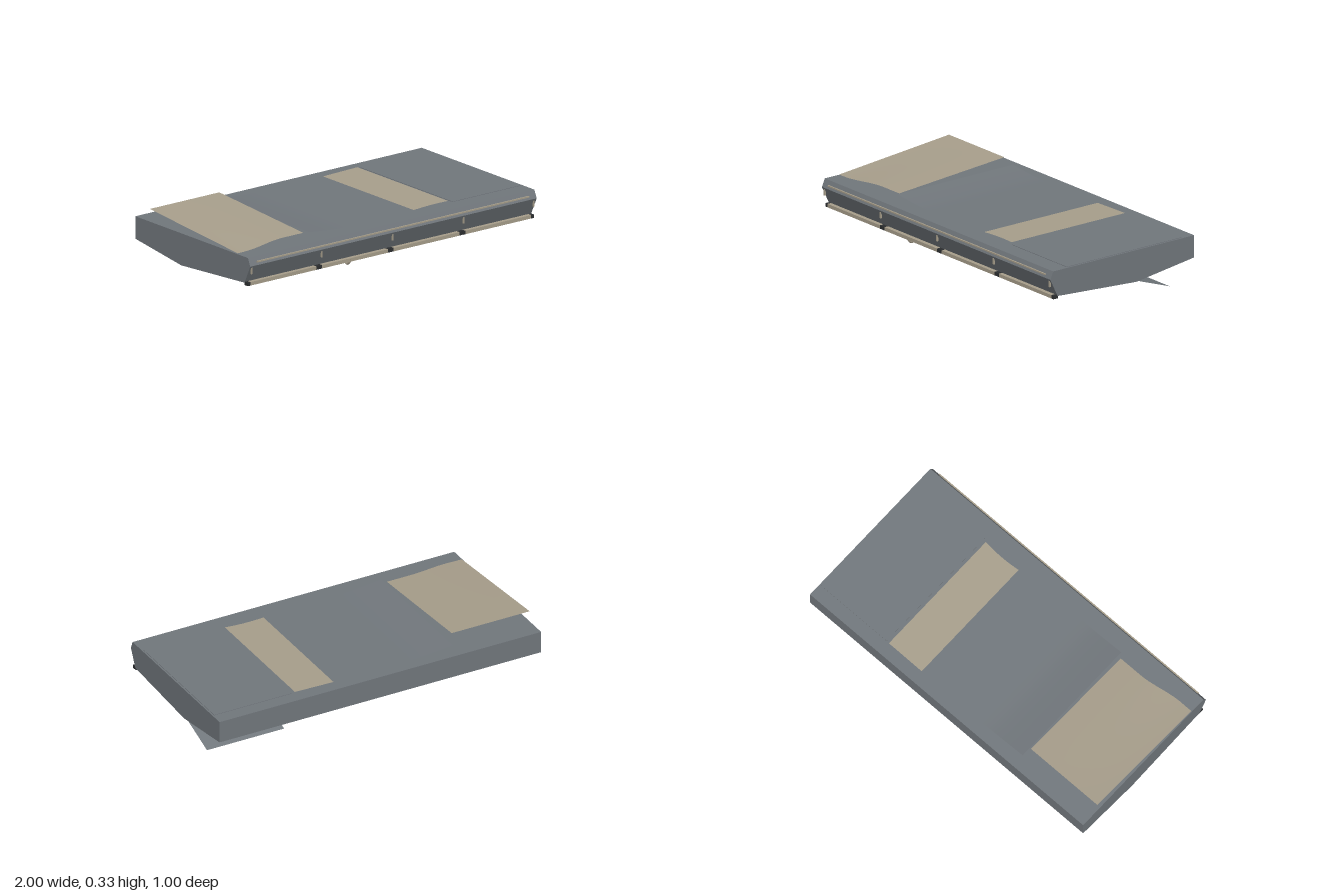
import * as THREE from 'three';

const mat = (name, color, side = THREE.FrontSide) => {
  const m = new THREE.MeshStandardMaterial({ color, side });
  m.name = name;
  return m;
};

export function createModel() {
  const group = new THREE.Group();
  const slate = mat('slate', 0x70767b, THREE.DoubleSide);
  const beige = mat('beige', 0xa69d8a, THREE.DoubleSide);
  const dark = mat('dark', 0x2c2e30);

  const add = (name, geometry, material, x = 0, y = 0, z = 0) => {
    const mesh = new THREE.Mesh(geometry, material);
    mesh.name = name;
    mesh.position.set(x, y, z);
    group.add(mesh);
    return mesh;
  };
  const box = (name, w, h, d, material, x, y, z) =>
    add(name, new THREE.BoxGeometry(w, h, d), material, x, y, z);

  // Thin sheet: rule(u, v) gives the point, u along x and v from back to front
  const sheet = (name, material, rule) => {
    const geo = new THREE.PlaneGeometry(1, 1, 12, 12);
    const p = geo.attributes.position;
    for (let i = 0; i < p.count; i++) {
      p.setXYZ(i, ...rule(p.getX(i) + 0.5, 0.5 - p.getY(i)));
    }
    geo.computeVertexNormals();
    return add(name, geo, material);
  };
  const tube = (name, points, radius, material) => add(name, new THREE.TubeGeometry(
    new THREE.CatmullRomCurve3(points.map((q) => new THREE.Vector3(...q))), 24, radius, 8), material);
  const mix = THREE.MathUtils.lerp;

  // Hull: side profile in (z, y), extruded along x
  const profile = new THREE.Shape([
    [0.48, 0.263], [-0.5, 0.263], [-0.5, 0.135], [-0.1, 0.08], [0.45, 0.115], [0.5, 0.218],
  ].map(([z, y]) => new THREE.Vector2(-z, y)));
  const hull = new THREE.ExtrudeGeometry(profile, { depth: 2, bevelEnabled: false });
  hull.translate(0, 0, -1).rotateY(Math.PI / 2);
  add('hull', hull, slate);

  // Deck panels, some of them peeling up
  sheet('raisedPanel', beige, (u, v) => {
    const front = 0.385 - 0.034 * THREE.MathUtils.smoothstep(u, 0.15, 0.7);
    const edge = 0.266 + 0.014 * THREE.MathUtils.smoothstep(u, 0, 0.7);
    return [mix(-0.995, -0.51, u), mix(0.333, edge, v), mix(-0.38, front, v)];
  });
  sheet('peeledPanel', slate, (u, v) => [
    mix(-0.49, 0.01, u), 0.265 + 0.021 * Math.max(0, 1 - u * 2.1) ** 1.3, mix(-0.425, 0.378, v),
  ]);
  sheet('curledPanel', beige, (u, v) => [
    mix(0.25, 0.49, u), mix(0.2645, 0.27, u), mix(-0.425, 0.357 + 0.008 * (2 * u - 1) ** 2, v),
  ]);
  box('flatPanel', 0.48, 0.003, 0.8, slate, 0.75, 0.264, -0.022);

  // Flap hanging under the belly
  sheet('bellyFlap', slate, (u, v) => [
    mix(0.51, 0.99, u), mix(0, 0.081, v), mix(-0.34, -0.11, v),
  ]);

  // Lamp bars with dark caps along the lower front edge
  for (let i = 0; i < 4; i++) {
    const x = -0.75 + i * 0.5;
    box('lampBar', 0.46, 0.02, 0.028, beige, x, 0.111, 0.463);
    for (const s of [-1, 1]) box('lampCap', 0.018, 0.02, 0.03, dark, x + s * 0.239, 0.111, 0.462);
  }

  // Front trim rail and its small hanging clips
  box('trimRail', 1.9, 0.008, 0.008, beige, 0, 0.236, 0.495);
  for (const x of [-0.985, -0.495, 0, 0.495, 0.985]) {
    box('clip', 0.008, 0.036, 0.009, beige, x, 0.19, 0.492);
  }

  // Sagging twin cables under the belly
  for (const z of [0.037, 0.063]) {
    tube('bellyCable', [[-0.78, 0.092, z], [-0.4, 0.083, z], [0, 0.077, z], [0.4, 0.083, z], [0.78, 0.092, z]],
      0.008, beige);
    for (const x of [-0.78, 0.78]) {
      add('cableEnd', new THREE.SphereGeometry(0.01, 10, 8), dark, x, 0.084, z);
    }
  }

  // Hooked cable under the lamps
  tube('hookCable', [[-0.28, 0.115, 0.472], [-0.28, 0.094, 0.464], [-0.28, 0.083, 0.445],
    [-0.28, 0.092, 0.428], [-0.28, 0.115, 0.42]], 0.007, beige);

  return group;
}
